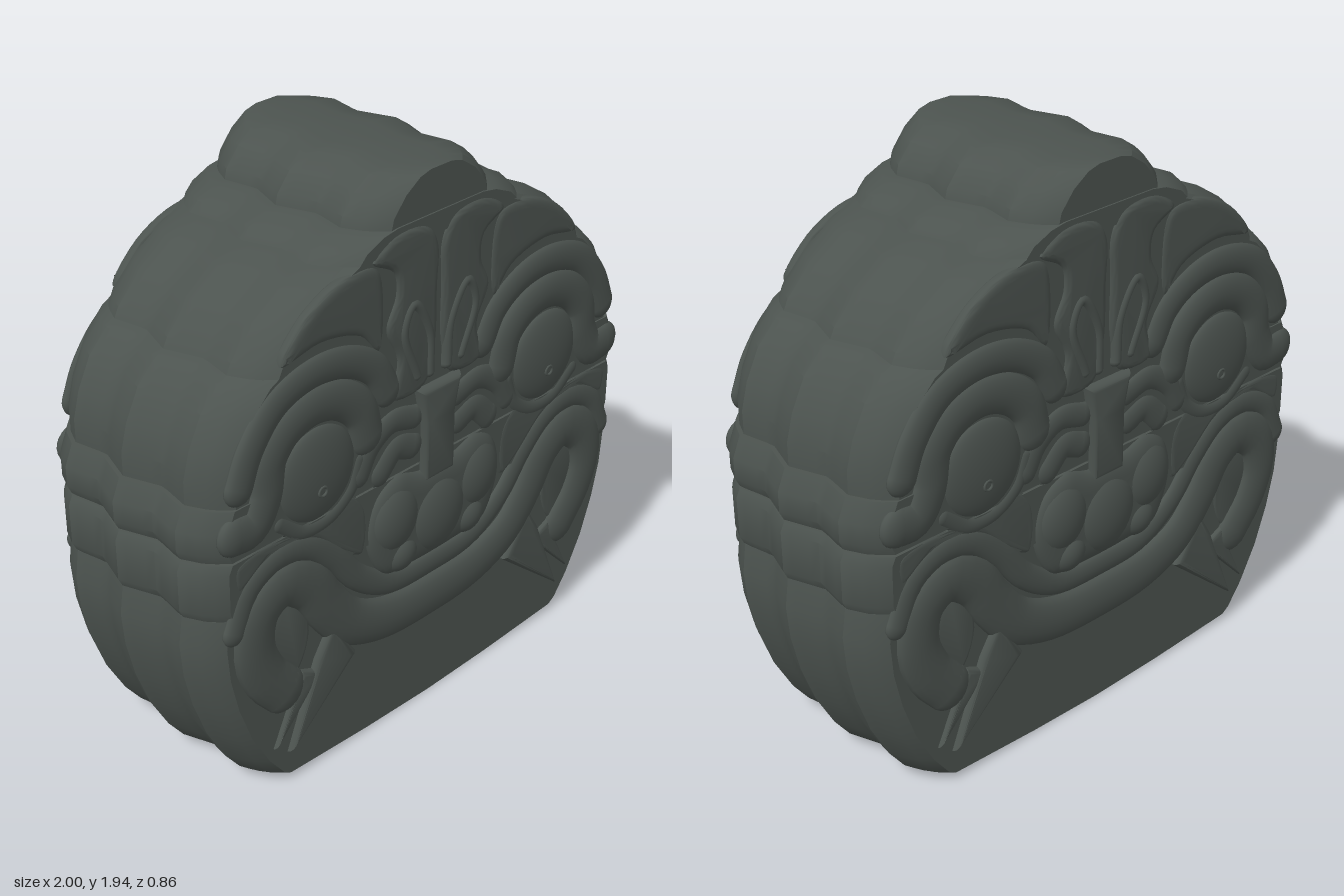
import * as THREE from 'three';
import { toCreasedNormals } from 'three/addons/utils/BufferGeometryUtils.js';

const stone = new THREE.MeshStandardMaterial({ color: 0x4c534f });
stone.name = 'darkStone';
const FACE = 0.37; // half depth of the block

// How far the sides are drawn in at each depth: shallow ribs and a rounded corner
const RIBS = [[0, 0], [0.13, 0.045], [0.25, 0.022], [0.33, 0.06], [0.385, 0.12]];
function inset(z) {
  const a = Math.abs(z);
  for (let i = 1; i < RIBS.length; i++) {
    const [z0, d0] = RIBS[i - 1], [z1, d1] = RIBS[i];
    if (a <= z1) return d0 + (d1 - d0) * (a - z0) / (z1 - z0);
  }
  return 0.12;
}

function part(parent, name, geometry) {
  const mesh = new THREE.Mesh(geometry, stone);
  mesh.name = name;
  parent.add(mesh);
  return mesh;
}

// Ribbed layer of the head; points run up the +x side and are mirrored
function slab(parent, name, side, half = FACE) {
  const right = side.map(([x, y]) => new THREE.Vector2(x, y));
  const left = side.filter(([x]) => x > 0).reverse().map(([x, y]) => new THREE.Vector2(-x, y));
  const g = new THREE.ExtrudeGeometry(new THREE.Shape([...right, ...left]), { depth: half * 2, steps: 24, bevelEnabled: false });
  g.translate(0, 0, -half);
  const p = g.attributes.position;
  for (let i = 0; i < p.count; i++) {
    const x = p.getX(i);
    p.setX(i, x - Math.sign(x) * inset(p.getZ(i)) * Math.min(1, Math.abs(x) / 0.2));
  }
  part(parent, name, toCreasedNormals(g, 0.5));
}

// Low pillow-like relief with a smooth or straight outline
function relief(parent, name, pts, height, round = 0.03, smooth = true) {
  const v = pts.map(([x, y]) => new THREE.Vector3(x, y, 0));
  const outline = smooth ? new THREE.CatmullRomCurve3(v, true, 'centripetal').getPoints(pts.length * 5).slice(0, -1) : v;
  const shape = new THREE.Shape(outline.map((q) => new THREE.Vector2(q.x, q.y)));
  const g = new THREE.ExtrudeGeometry(shape, {
    depth: 0.02, bevelThickness: height, bevelSize: round, bevelOffset: -round, bevelSegments: 5,
  });
  g.translate(0, 0, FACE - 0.02);
  part(parent, name, toCreasedNormals(g, 0.7));
}

// Flattened roll along a path, closed by rounded ends
function roll(parent, name, pts, radius, height) {
  const curve = new THREE.CatmullRomCurve3(pts.map(([x, y]) => new THREE.Vector3(x, y, 0)));
  const g = new THREE.Group();
  g.name = name;
  part(g, name + 'Band', new THREE.TubeGeometry(curve, 60, radius, 16));
  for (const t of [0, 1]) part(g, name + 'End', new THREE.SphereGeometry(radius, 16, 12)).position.copy(curve.getPoint(t));
  g.scale.z = height / radius;
  g.position.z = FACE;
  parent.add(g);
}

function dome(parent, name, x, y, rx, ry, height, z = FACE) {
  const m = part(parent, name, new THREE.SphereGeometry(1, 32, 20));
  m.scale.set(rx, ry, height);
  m.position.set(x, y, z);
}

function createFace() {
  const face = new THREE.Group();
  face.name = 'face';

  for (const s of [1, -1]) {
    const m = (pts) => pts.map(([x, y]) => [x * s, y]);

    // Forehead locks and dimples
    relief(face, 'foreheadLock', m([[0.01, 1.7], [0.06, 1.77], [0.2, 1.78], [0.29, 1.72], [0.2, 1.66], [0.19, 1.58],
      [0.23, 1.48], [0.18, 1.36], [0.2, 1.23], [0.06, 1.23], [0.015, 1.35], [0.01, 1.55]]), 0.018, 0.025);
    roll(face, 'frownRidge', m([[0.04, 1.27], [0.05, 1.42], [0.12, 1.53], [0.16, 1.45], [0.1, 1.28]]), 0.022, 0.026);
    relief(face, 'hairSweep', m([[0.27, 1.7], [0.4, 1.71], [0.56, 1.64], [0.66, 1.52], [0.5, 1.54], [0.34, 1.5],
      [0.26, 1.42], [0.24, 1.55]]), 0.012, 0.03);

    // Brow and lid, sweeping out to the ears
    roll(face, 'brow', m([[0.22, 1.27], [0.28, 1.37], [0.4, 1.44], [0.54, 1.455], [0.68, 1.41], [0.78, 1.3],
      [0.83, 1.19]]), 0.055, 0.024);
    roll(face, 'eyelid', m([[0.31, 1.15], [0.34, 1.25], [0.42, 1.32], [0.53, 1.345], [0.64, 1.31], [0.71, 1.23],
      [0.73, 1.12], [0.78, 1.04], [0.85, 1.04]]), 0.068, 0.03);
    roll(face, 'lowerLid', m([[0.34, 1.08], [0.38, 0.99], [0.47, 0.93], [0.58, 0.93], [0.68, 1.0]]), 0.03, 0.016);

    // Eye with a small pupil ring
    dome(face, 'eyeball', 0.525 * s, 1.11, 0.162, 0.162, 0.036);
    const pupil = part(face, 'pupil', new THREE.TorusGeometry(0.016, 0.005, 8, 20));
    pupil.position.set(0.525 * s, 1.06, FACE + 0.034);

    // Wrinkles beside the nose
    roll(face, 'noseWrinkle', m([[0.1, 1.13], [0.2, 1.15], [0.29, 1.1], [0.34, 1.02]]), 0.045, 0.02);
    roll(face, 'innerWrinkle', m([[0.11, 1.03], [0.18, 1.05], [0.25, 0.99]]), 0.05, 0.022);

    // Cheek and fangs
    relief(face, 'cheek', m([[0.32, 0.9], [0.4, 0.98], [0.55, 0.94], [0.75, 0.96], [0.86, 0.93], [0.85, 0.84],
      [0.7, 0.92], [0.55, 0.89], [0.42, 0.78], [0.33, 0.73]]), 0.012, 0.02);
    relief(face, 'largeFang', m([[0.36, 0.37], [0.47, 0.54], [0.54, 0.43], [0.66, 0.125]]), 0.024, 0.03, false);
    relief(face, 'smallFang', m([[0.51, 0.38], [0.6, 0.42], [0.64, 0.34], [0.72, 0.17]]), 0.017, 0.022, false);
    relief(face, 'mouthCorner', m([[0.56, 0.55], [0.6, 0.68], [0.66, 0.71], [0.73, 0.63], [0.71, 0.5], [0.62, 0.42]]), 0.004, 0.01);
  }

  // Lips run from corner to corner, curling round at both ends
  const across = (pts) => [...pts.slice(1).reverse().map(([x, y]) => [-x, y]), ...pts];
  roll(face, 'lip', across([[0, 0.41], [0.22, 0.425], [0.38, 0.49], [0.48, 0.6], [0.56, 0.72], [0.66, 0.775],
    [0.76, 0.72], [0.79, 0.6], [0.75, 0.48], [0.67, 0.38]]), 0.082, 0.032);
  roll(face, 'upperLip', across([[0, 0.54], [0.2, 0.555], [0.34, 0.64], [0.45, 0.77], [0.56, 0.86], [0.68, 0.885],
    [0.8, 0.83], [0.865, 0.7]]), 0.045, 0.02);

  // Nose: bridge, round tip, wings and nostrils
  relief(face, 'noseBridge', [[-0.1, 1.225], [0.1, 1.225], [0.075, 1.1], [0.075, 0.88], [-0.075, 0.88], [-0.075, 1.1]], 0.035, 0.025, false);
  relief(face, 'nose', across([[0, 0.93], [0.08, 0.93], [0.18, 0.955], [0.27, 0.91], [0.31, 0.8], [0.29, 0.69],
    [0.23, 0.6], [0.1, 0.585]]), 0.035, 0.08);
  dome(face, 'noseTip', 0, 0.74, 0.14, 0.15, 0.06);
  for (const s of [1, -1]) {
    dome(face, 'noseWing', 0.19 * s, 0.8, 0.11, 0.13, 0.055);
    dome(face, 'nostril', 0.16 * s, 0.655, 0.075, 0.07, 0.05);
  }
  return face;
}

export function createModel() {
  const model = new THREE.Group();
  model.name = 'twoFacedHead';

  // Stacked layers of the block, bottom to top
  slab(model, 'jaw', [[0, 0.005], [0.4, 0.012], [0.75, 0.03], [0.78, 0.05], [0.84, 0.13], [0.91, 0.26], [0.96, 0.4],
    [0.99, 0.53], [1, 0.65], [0.985, 0.75]]);
  slab(model, 'headCore', [[0.95, 0.74], [0.95, 1.14]], 0.367);
  slab(model, 'lowerEar', [[0.985, 0.75], [1, 0.78], [1, 0.92], [0.985, 0.95]], 0.38);
  slab(model, 'upperEar', [[0.985, 0.958], [1, 0.99], [1, 1.06], [0.97, 1.13]], 0.38);
  slab(model, 'browLayer', [[0.955, 1.13], [0.955, 1.21], [0.93, 1.3], [0.88, 1.4], [0.81, 1.47], [0.75, 1.5]], 0.375);
  slab(model, 'hairLayer', [[0.785, 1.47], [0.76, 1.52], [0.67, 1.61], [0.56, 1.68], [0.44, 1.73]], 0.375);
  slab(model, 'headband', [[0.46, 1.73], [0.43, 1.76], [0.36, 1.79], [0.3, 1.8]], 0.38);
  slab(model, 'topknot', [[0.32, 1.79], [0.31, 1.83], [0.26, 1.89], [0.2, 1.93], [0.1, 1.942]], 0.375);

  // The same face on both sides
  const front = createFace();
  front.name = 'frontFace';
  const back = createFace();
  back.name = 'backFace';
  back.rotation.y = Math.PI;
  model.add(front, back);
  return model;
}
